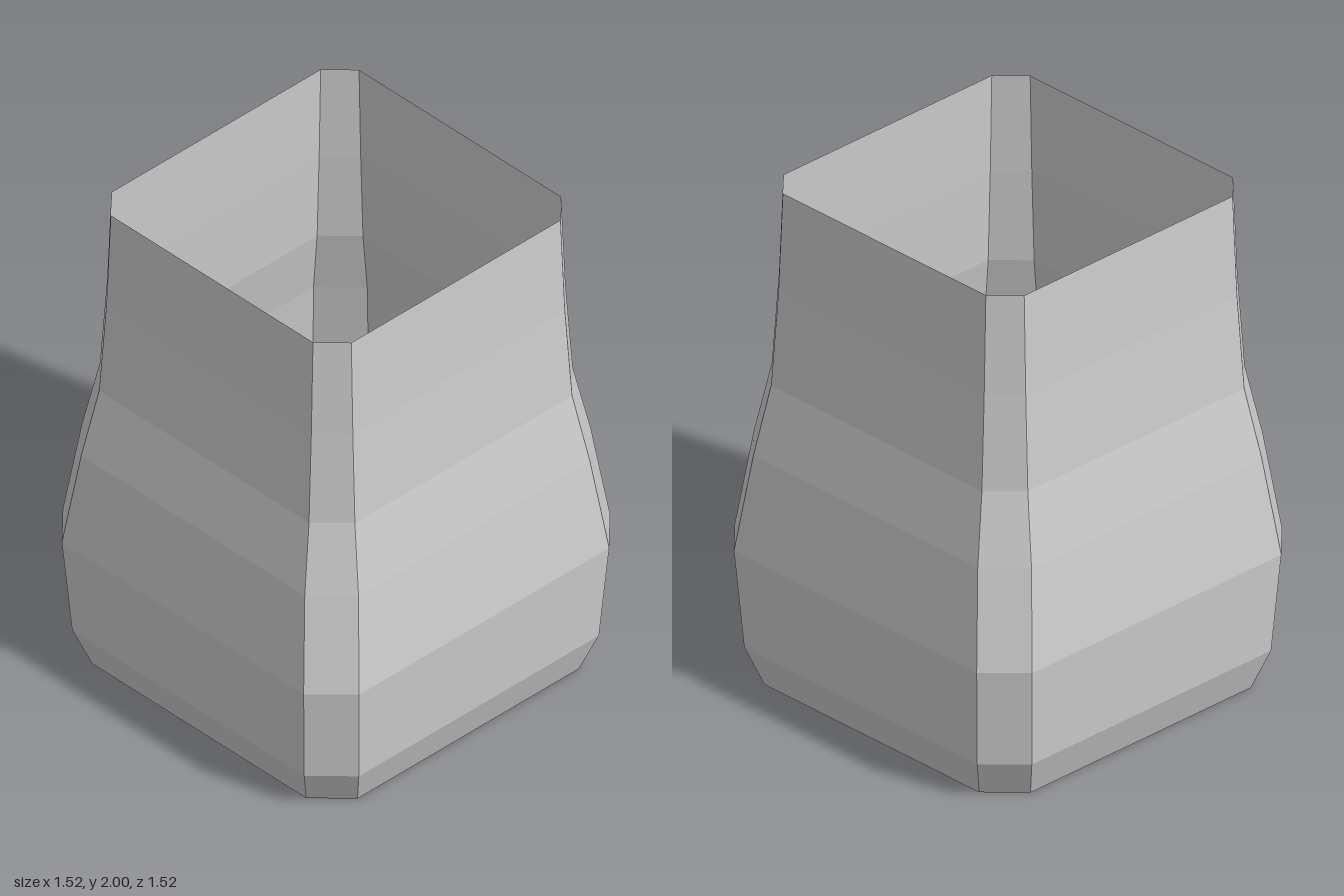
import * as THREE from 'three';

// Height, half width, and half length of the flat side at each ring
const rings = [
  [0, 0.68, 0.55],
  [0.155, 0.735, 0.597],
  [0.55, 0.762, 0.622],
  [0.94, 0.711, 0.575],
  [1.22, 0.656, 0.54],
  [1.6, 0.632, 0.527],
  [2, 0.617, 0.52],
];

// Square with cut corners, running from +x towards +z
function ringPoints([y, h, c]) {
  return [[h, -c], [h, c], [c, h], [-c, h], [-h, c], [-h, -c], [-c, -h], [c, -h]]
    .map(([x, z]) => [x, y, z]);
}

function facetedGeometry(triangles) {
  const geometry = new THREE.BufferGeometry();
  geometry.setAttribute('position', new THREE.Float32BufferAttribute(triangles.flat(2), 3));
  geometry.computeVertexNormals();
  return geometry;
}

export function createModel() {
  const group = new THREE.Group();
  group.name = 'vase';
  const clay = new THREE.MeshStandardMaterial({ color: 0xcccccc, flatShading: true, side: THREE.DoubleSide });
  clay.name = 'light grey';

  const loops = rings.map(ringPoints);
  const addPart = (name, triangles) => {
    const mesh = new THREE.Mesh(facetedGeometry(triangles), clay);
    mesh.name = name;
    group.add(mesh);
  };

  // Thin open wall joining each ring to the next
  const wall = [];
  for (let r = 0; r < loops.length - 1; r++) {
    for (let i = 0; i < 8; i++) {
      const j = (i + 1) % 8;
      const a = loops[r][i], b = loops[r][j];
      const c = loops[r + 1][i], d = loops[r + 1][j];
      wall.push([a, c, b], [b, c, d]);
    }
  }
  addPart('wall', wall);

  // Flat floor closing the bottom
  const floor = [];
  for (let i = 1; i < 7; i++) floor.push([loops[0][0], loops[0][i], loops[0][i + 1]]);
  addPart('floor', floor);

  return group;
}
